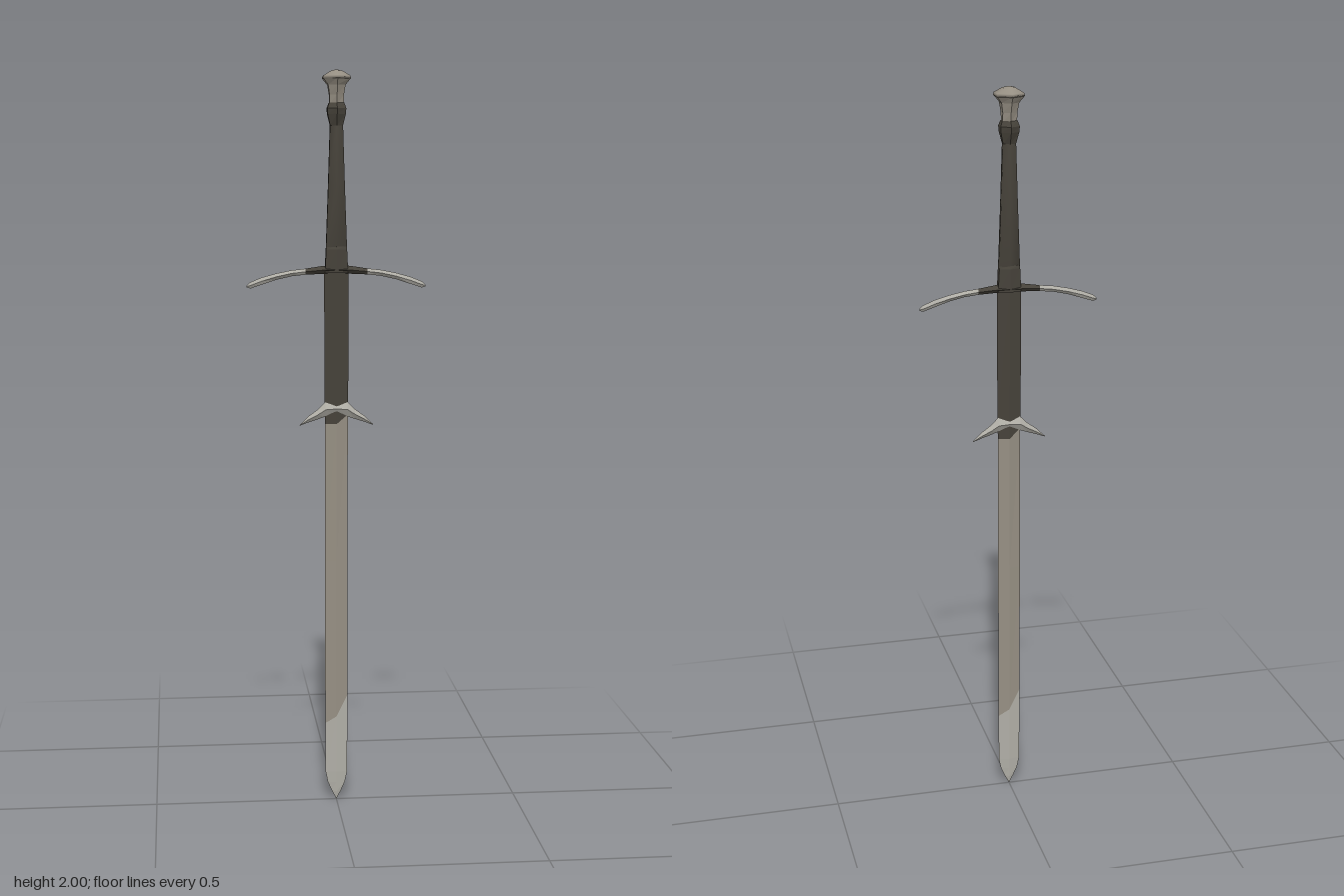
import * as THREE from 'three';
import { mergeVertices } from 'three/addons/utils/BufferGeometryUtils.js';

const material = (name, color) => {
  const m = new THREE.MeshStandardMaterial({ color });
  m.name = name;
  return m;
};

// Skin a list of rings (each counterclockwise about the direction of travel)
function loft(rings, smooth = false) {
  const pos = [];
  const tri = (a, b, c) => pos.push(...a, ...b, ...c);
  const n = rings[0].length;
  for (let i = 0; i < rings.length - 1; i++) {
    for (let j = 0; j < n; j++) {
      const k = (j + 1) % n;
      const [a, b, c, d] = [rings[i][j], rings[i][k], rings[i + 1][k], rings[i + 1][j]];
      tri(a, b, c);
      tri(a, c, d);
    }
  }
  const first = rings[0], last = rings[rings.length - 1];
  for (let j = 1; j < n - 1; j++) {
    tri(first[0], first[j + 1], first[j]);
    tri(last[0], last[j], last[j + 1]);
  }
  let g = new THREE.BufferGeometry();
  g.setAttribute('position', new THREE.Float32BufferAttribute(pos, 3));
  if (smooth) g = mergeVertices(g, 1e-5);
  g.computeVertexNormals();
  return g;
}

// Six-sided ring around the vertical axis, corners towards +z and -z
const hexRing = ([y, rx, rz]) => Array.from({ length: 6 }, (_, i) => {
  const a = i * Math.PI / 3;
  return [rx * Math.sin(a) / 0.866, y, rz * Math.cos(a)];
});

// Diamond ring across the x axis
const diamondRing = ([x, low, high, hz]) => {
  const mid = (low + high) / 2;
  return [[x, high, 0], [x, mid, hz], [x, low, 0], [x, mid, -hz]];
};

// One ridged blade face: rows of [left y, centre y, right y, half width, ridge depth], going up
function bladeFace(rows) {
  const pos = [];
  const grid = rows.map(([l, c, r, w, d]) => [[-w, l, 0], [0, c, d], [w, r, 0]]);
  for (let i = 0; i < grid.length - 1; i++) {
    for (let j = 0; j < 2; j++) {
      const a = grid[i][j], b = grid[i][j + 1], c = grid[i + 1][j + 1], d = grid[i + 1][j];
      pos.push(...a, ...b, ...c, ...a, ...c, ...d);
    }
  }
  const g = new THREE.BufferGeometry();
  g.setAttribute('position', new THREE.Float32BufferAttribute(pos, 3));
  g.computeVertexNormals();
  return g;
}

export function createModel() {
  const sword = new THREE.Group();
  sword.name = 'sword';
  const leather = material('dark leather', 0x46423a);
  const aged = material('aged steel', 0x968f83);
  const pale = material('pale steel', 0xb0aea6);

  const add = (name, geometry, mat) => {
    const mesh = new THREE.Mesh(geometry, mat);
    mesh.name = name;
    sword.add(mesh);
    return mesh;
  };
  // The same face on the front and, turned half round, on the back
  const addFaces = (name, rows, mat) => {
    const g = bladeFace(rows);
    add(name + 'Front', g, mat);
    add(name + 'Back', g, mat).rotation.y = Math.PI;
  };

  // Blade: pale tip, aged body, wrapped upper section
  const tipEdge = [0.22, 0.24, 0.30, 0.031, 0.005];
  const wrapEdge = [1.06, 1.06, 1.085, 0.031, 0.008];
  addFaces('bladeTip', [
    [0, 0, 0, 0, 0],
    [0.025, 0.022, 0.025, 0.013, 0.003],
    [0.05, 0.05, 0.05, 0.024, 0.004],
    [0.08, 0.08, 0.08, 0.03, 0.005],
    tipEdge,
  ], pale);
  addFaces('bladeBody', [tipEdge, [0.68, 0.68, 0.68, 0.031, 0.006], wrapEdge], aged);
  addFaces('wrappedBlade', [
    wrapEdge,
    [1.12, 1.12, 1.12, 0.032, 0.008],
    [1.48, 1.48, 1.48, 0.033, 0.009],
  ], leather);

  // Crescent lugs below the wrapped section
  const lug = [
    [0, 1.082, 1.122, 0.012], [0.03, 1.08, 1.12, 0.011],
    [0.05, 1.073, 1.1, 0.009], [0.075, 1.065, 1.082, 0.006], [0.1, 1.056, 1.058, 0.001],
  ];
  const mirrored = (s) => [...s.slice(1).reverse().map(([x, ...r]) => [-x, ...r]), ...s];
  add('crescentLugs', loft(mirrored(lug).map(diamondRing)), pale);

  // Crossguard: dark middle and two drooping steel arms
  const middle = [[0, 1.464, 1.488, 0.017], [0.037, 1.465, 1.486, 0.012], [0.083, 1.463, 1.479, 0.006]];
  add('guardMiddle', loft(mirrored(middle).map(diamondRing)), leather);
  const arm = [
    [0.083, 1.463, 1.479, 0.005], [0.12, 1.459, 1.475, 0.007], [0.16, 1.45, 1.467, 0.007],
    [0.2, 1.437, 1.456, 0.005], [0.23, 1.427, 1.444, 0.005], [0.24, 1.43, 1.435, 0.001],
  ];
  const armGeometry = loft(arm.map(diamondRing));
  add('guardArmLeft', armGeometry, pale);
  add('guardArmRight', armGeometry, pale).rotation.y = Math.PI;

  // Tapered grip with a thicker foot and a knob at its top
  add('gripFoot', loft([[1.468, 0.031, 0.017], [1.53, 0.028, 0.017], [1.54, 0.027, 0.013]].map(hexRing)), leather);
  add('grip', loft([[1.53, 0.028, 0.014], [1.7, 0.022, 0.013], [1.862, 0.017, 0.013]].map(hexRing), true), leather);
  add('gripKnob', loft([
    [1.855, 0.017, 0.013], [1.885, 0.024, 0.025], [1.9, 0.025, 0.028], [1.914, 0.02, 0.019],
  ].map(hexRing)), leather);

  // Flared neck and domed pommel
  add('pommelNeck', loft([
    [1.91, 0.019, 0.018], [1.935, 0.019, 0.023], [1.96, 0.023, 0.031], [1.978, 0.037, 0.042],
  ].map(hexRing)), aged);
  add('pommelCap', loft([
    [1.976, 0.037, 0.042], [1.984, 0.035, 0.039], [1.996, 0.016, 0.018], [2, 0.002, 0.002],
  ].map(hexRing), true), aged);

  return sword;
}
